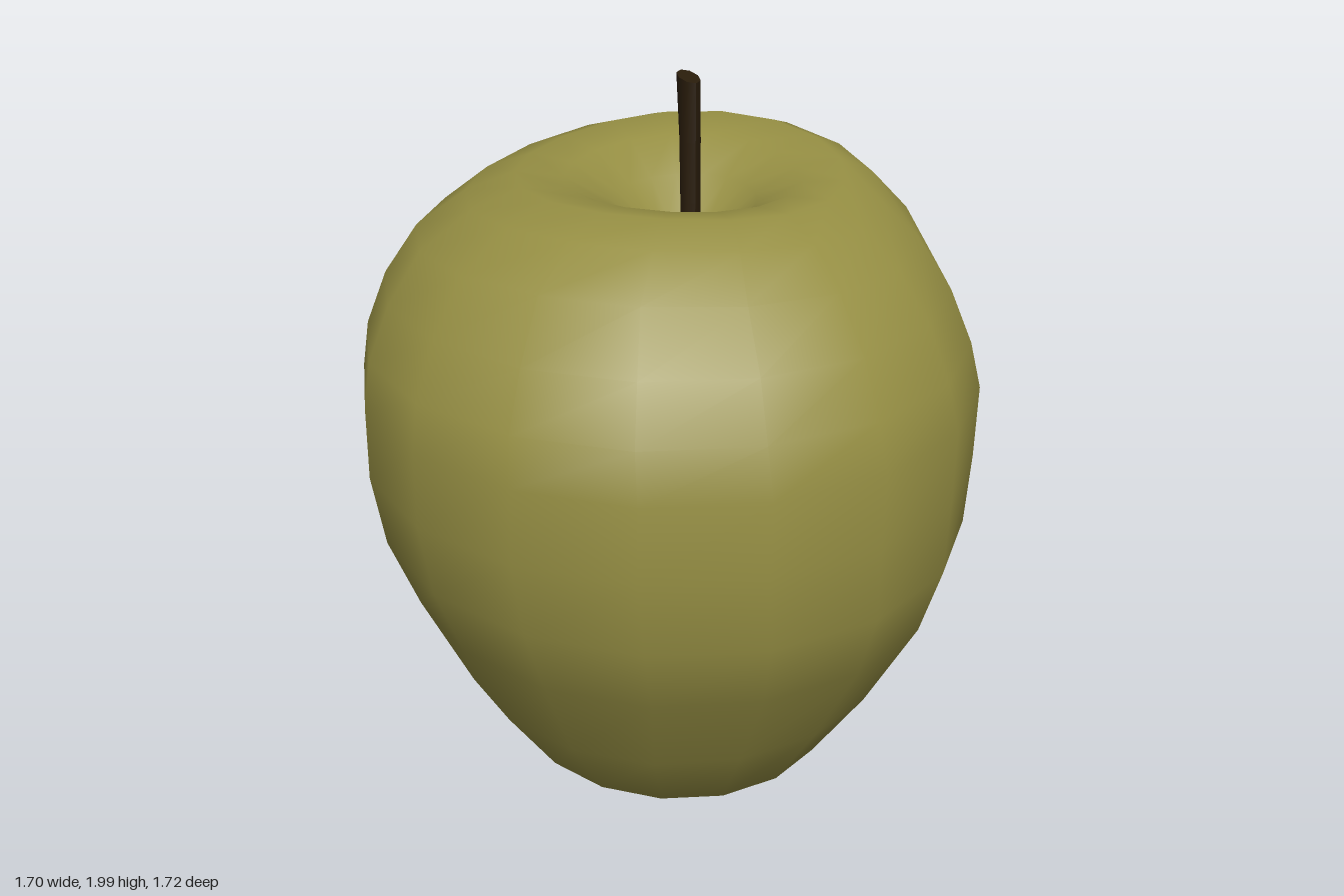
import * as THREE from 'three';

const SIDES = 17;

// Fruit rings from the lower hollow, over the body, into the stem hollow:
// [y, xMin, xMax, zMin, zMax]
const RINGS = [
  [0.09, -0.01, 0.01, -0.01, 0.01],
  [0.083, -0.1, 0.1, -0.1, 0.1],
  [0.055, -0.21, 0.21, -0.2, 0.22],
  [0.022, -0.32, 0.32, -0.31, 0.36],
  [0.08, -0.46, 0.48, -0.48, 0.5],
  [0.3, -0.61, 0.65, -0.62, 0.63],
  [0.6, -0.75, 0.77, -0.76, 0.8],
  [0.8, -0.825, 0.82, -0.85, 0.87],
  [1.0, -0.855, 0.84, -0.86, 0.87],
  [1.2, -0.85, 0.845, -0.86, 0.865],
  [1.32, -0.825, 0.825, -0.85, 0.82],
  [1.46, -0.76, 0.77, -0.81, 0.75],
  [1.6, -0.66, 0.7, -0.74, 0.63],
  [1.7, -0.52, 0.6, -0.62, 0.51],
  [1.745, -0.39, 0.5, -0.48, 0.4],
  [1.73, -0.27, 0.37, -0.34, 0.29],
  [1.665, -0.15, 0.25, -0.21, 0.18],
  [1.58, -0.05, 0.16, -0.11, 0.1],
  [1.53, 0.05, 0.07, -0.01, 0.01],
];

// Joins the rings into one smooth, slightly irregular skin
function fruitGeometry() {
  const pos = [], idx = [];
  for (const [y, x0, x1, z0, z1] of RINGS) {
    const bulge = 0.03 * Math.sin((Math.PI * y) / 1.8);
    const lobe = 0.015 * Math.max(0, 1 - Math.abs(y - 0.022) / 0.06);
    const slope = THREE.MathUtils.smoothstep(y, 1.48, 1.74);
    for (let i = 0; i < SIDES; i++) {
      const a = (i / SIDES) * Math.PI * 2 - Math.PI / 2;
      // The back left side is a little fuller
      const full = 1 + bulge * Math.max(0, Math.cos(a + Math.PI / 4)) ** 4;
      const x = (x0 + x1) / 2 + ((x1 - x0) / 2) * Math.cos(a) * full;
      const z = (z0 + z1) / 2 + ((z1 - z0) / 2) * Math.sin(a) * full;
      // Uneven shoulder at the top, five feet at the bottom
      const lift = slope * (0.03 * x - 0.055 * z - 0.17 * x * z);
      pos.push(x, y + lift - lobe * Math.sin(5 * a), z);
    }
  }
  for (let r = 0; r < RINGS.length - 1; r++) {
    for (let i = 0; i < SIDES; i++) {
      const j = (i + 1) % SIDES;
      const a = r * SIDES + i, b = r * SIDES + j;
      const c = a + SIDES, d = b + SIDES;
      idx.push(a, c, b, b, c, d);
    }
  }
  const g = new THREE.BufferGeometry();
  g.setAttribute('position', new THREE.Float32BufferAttribute(pos, 3));
  g.setIndex(idx);
  g.computeVertexNormals();
  return g;
}

// Flattened rod that widens and leans back towards a slanted tip
function stemGeometry() {
  const g = new THREE.CylinderGeometry(1, 1, 1, 8, 3);
  const p = g.attributes.position;
  for (let i = 0; i < p.count; i++) {
    const t = p.getY(i) + 0.5;
    const x = p.getX(i), z = p.getZ(i);
    const flare = t * t * t;
    p.setXYZ(i,
      0.06 + x * 0.028,
      1.5 + t * 0.49 - z * 0.01 * flare,
      0.008 - 0.016 * flare + z * (0.028 + 0.015 * flare));
  }
  g.computeVertexNormals();
  return g;
}

export function createModel() {
  const group = new THREE.Group();
  const skinMat = new THREE.MeshStandardMaterial({ color: 0x958e43 });
  skinMat.name = 'olive green skin';
  const stemMat = new THREE.MeshStandardMaterial({ color: 0x291c0b });
  stemMat.name = 'dark brown';

  const add = (name, geometry, material) => {
    const mesh = new THREE.Mesh(geometry, material);
    mesh.name = name;
    group.add(mesh);
    return mesh;
  };

  add('fruit', fruitGeometry(), skinMat);
  add('stem', stemGeometry(), stemMat);

  // Small, shallow dried tuft in the lower hollow
  const calyx = add('calyx', new THREE.ConeGeometry(0.062, 0.06, 5), stemMat);
  calyx.rotation.x = Math.PI;
  calyx.position.set(0, 0.06, 0);
  return group;
}
